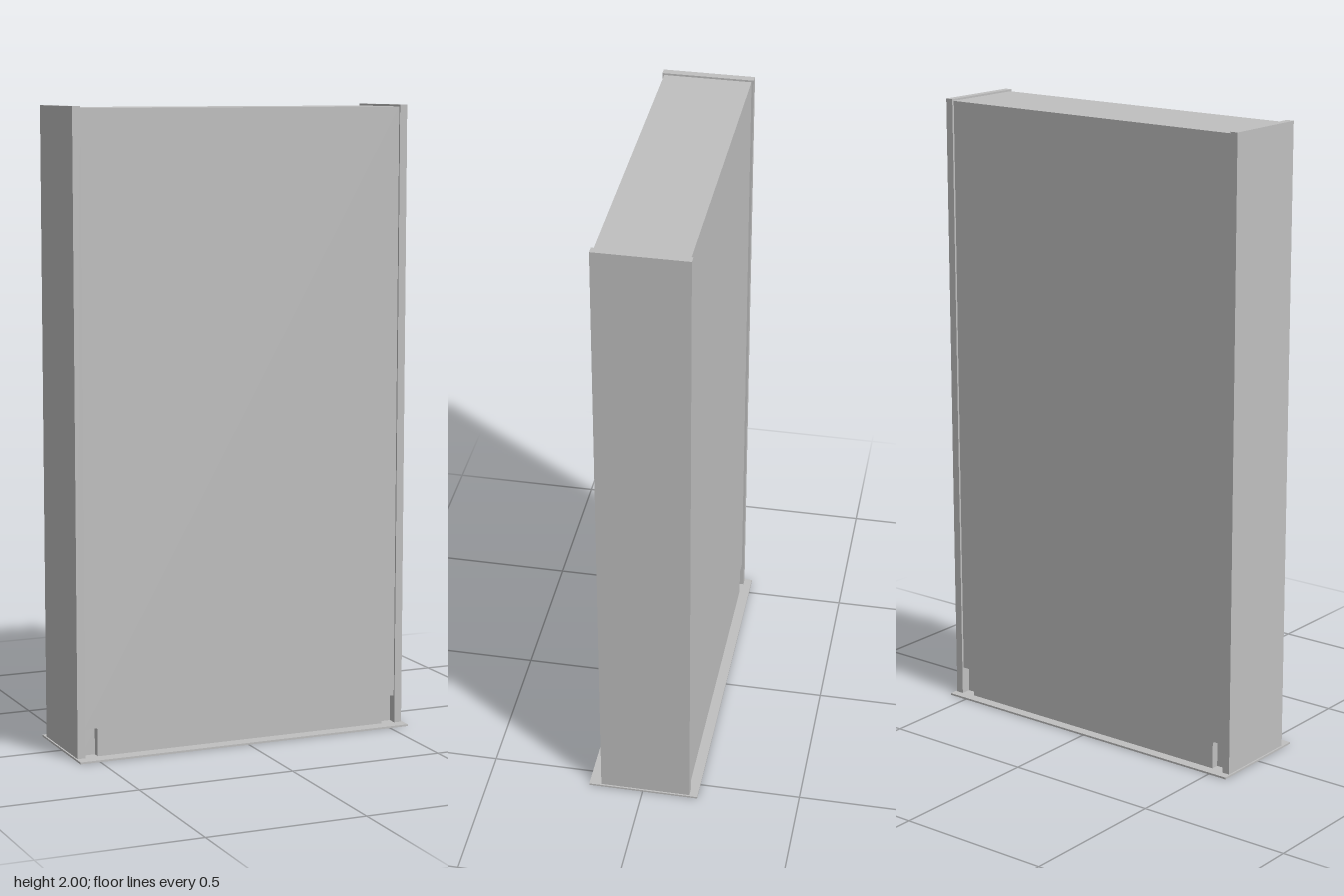
import * as THREE from 'three';

export function createModel() {
  const model = new THREE.Group();
  const grey = new THREE.MeshStandardMaterial({ color: 0xc0c0c0 });
  grey.name = 'light grey metal';

  const add = (name, geometry, x, y, z) => {
    const mesh = new THREE.Mesh(geometry, grey);
    mesh.name = name;
    mesh.position.set(x, y, z);
    model.add(mesh);
  };
  // Box placed by its lower face
  const box = (name, w, h, d, x, y, z) =>
    add(name, new THREE.BoxGeometry(w, h, d), x, y + h / 2, z);

  const baseTop = 0.006, top = 1.994, half = 0.535;
  const front = 0.13, back = -0.145, skin = 0.025;
  const midZ = (front + back) / 2;

  // Floor plate, wider than the cabinet
  box('basePlate', 1.13, baseTop, 0.353, 0, 0, -0.0015);

  // Inner body behind the face panels
  box('innerBody', 2 * half, top - baseTop, front - back - 2 * skin, 0, baseTop, midZ);

  // Face panel with a notch in each lower corner
  const outline = new THREE.Shape();
  const notchX = 0.492, notchTop = 0.095, r = 0.006;
  outline.moveTo(-notchX, baseTop);
  outline.lineTo(notchX, baseTop);
  outline.lineTo(notchX, notchTop - r);
  outline.quadraticCurveTo(notchX, notchTop, notchX + r, notchTop);
  outline.lineTo(half, notchTop);
  outline.lineTo(half, top);
  outline.lineTo(-half, top);
  outline.lineTo(-half, notchTop);
  outline.lineTo(-notchX - r, notchTop);
  outline.quadraticCurveTo(-notchX, notchTop, -notchX, notchTop - r);
  outline.closePath();
  const panel = new THREE.ExtrudeGeometry(outline, { depth: skin, bevelEnabled: false, curveSegments: 4 });
  add('frontPanel', panel, 0, 0, front - skin);
  add('backPanel', panel, 0, 0, back);

  // Side panels standing slightly proud of the faces and top
  for (const side of [-1, 1]) {
    box(side > 0 ? 'leftSide' : 'rightSide', 0.025, 2 - baseTop, 0.288, side * 0.5475, baseTop, -0.008);
  }
  return model;
}
